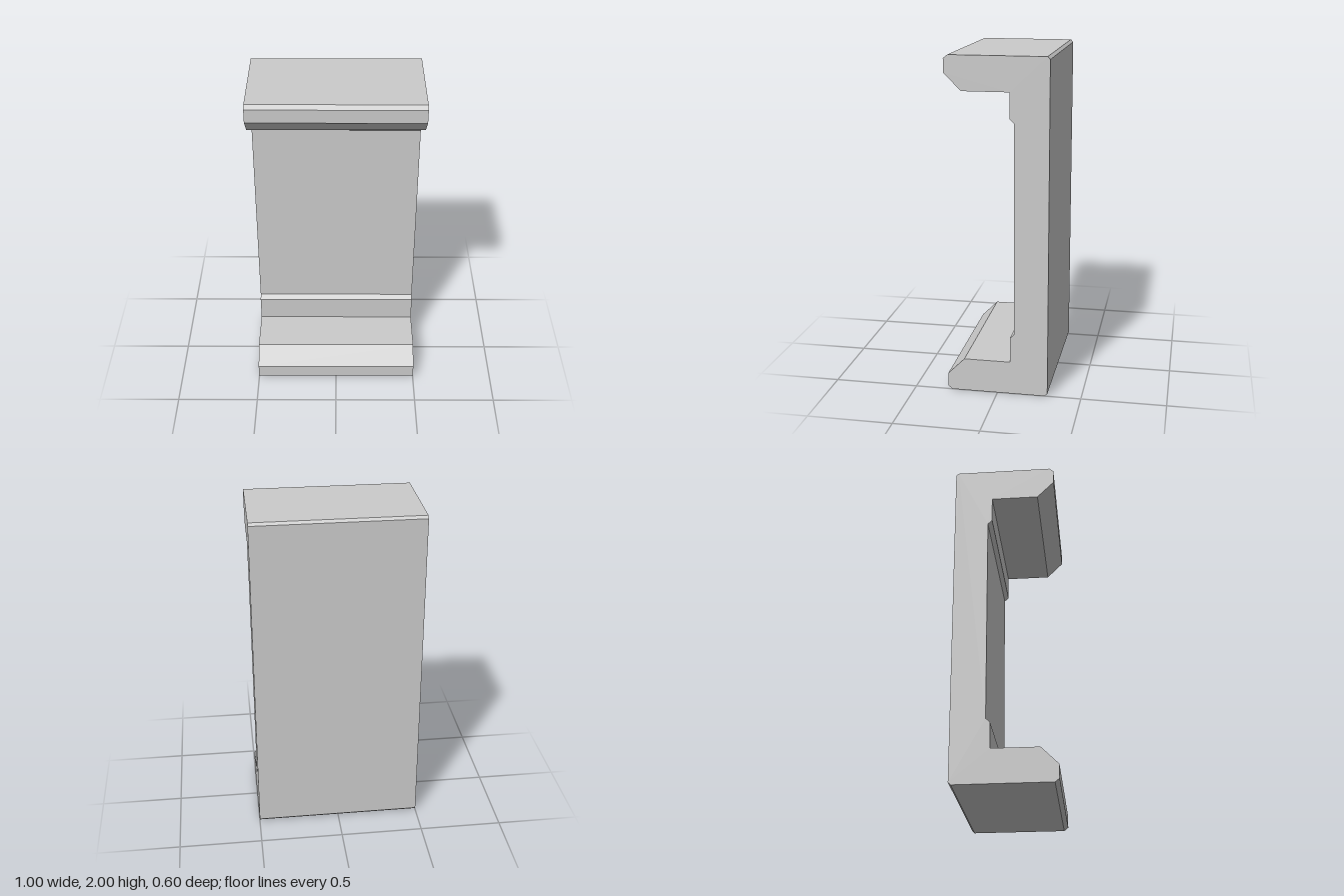
import * as THREE from 'three';

export function createModel() {
  const group = new THREE.Group();
  const material = new THREE.MeshStandardMaterial({ color: 0xcccccc, flatShading: true });

  // Lower half of the channel section as [z, y], from back wall to mid-height of the web
  const lower = [
    [-0.3, 0.015], [-0.285, 0], [0.275, 0], [0.3, 0.02], [0.3, 0.1],
    [0.2, 0.2], [-0.075, 0.2], [-0.075, 0.35], [-0.1, 0.375],
  ];
  // Mirror it about y = 1 for the upper half
  const upper = lower.map(([z, y]) => [z, 2 - y]).reverse();
  const section = new THREE.Shape([...lower, ...upper].map(([z, y]) => new THREE.Vector2(z, y)));

  // Sweep the section along the width, then turn it so its lips face +z
  const geometry = new THREE.ExtrudeGeometry(section, { depth: 1, bevelEnabled: false });
  geometry.translate(0, 0, -0.5);
  geometry.rotateY(-Math.PI / 2);

  const channel = new THREE.Mesh(geometry, material);
  channel.name = 'channelBracket';
  group.add(channel);
  return group;
}
